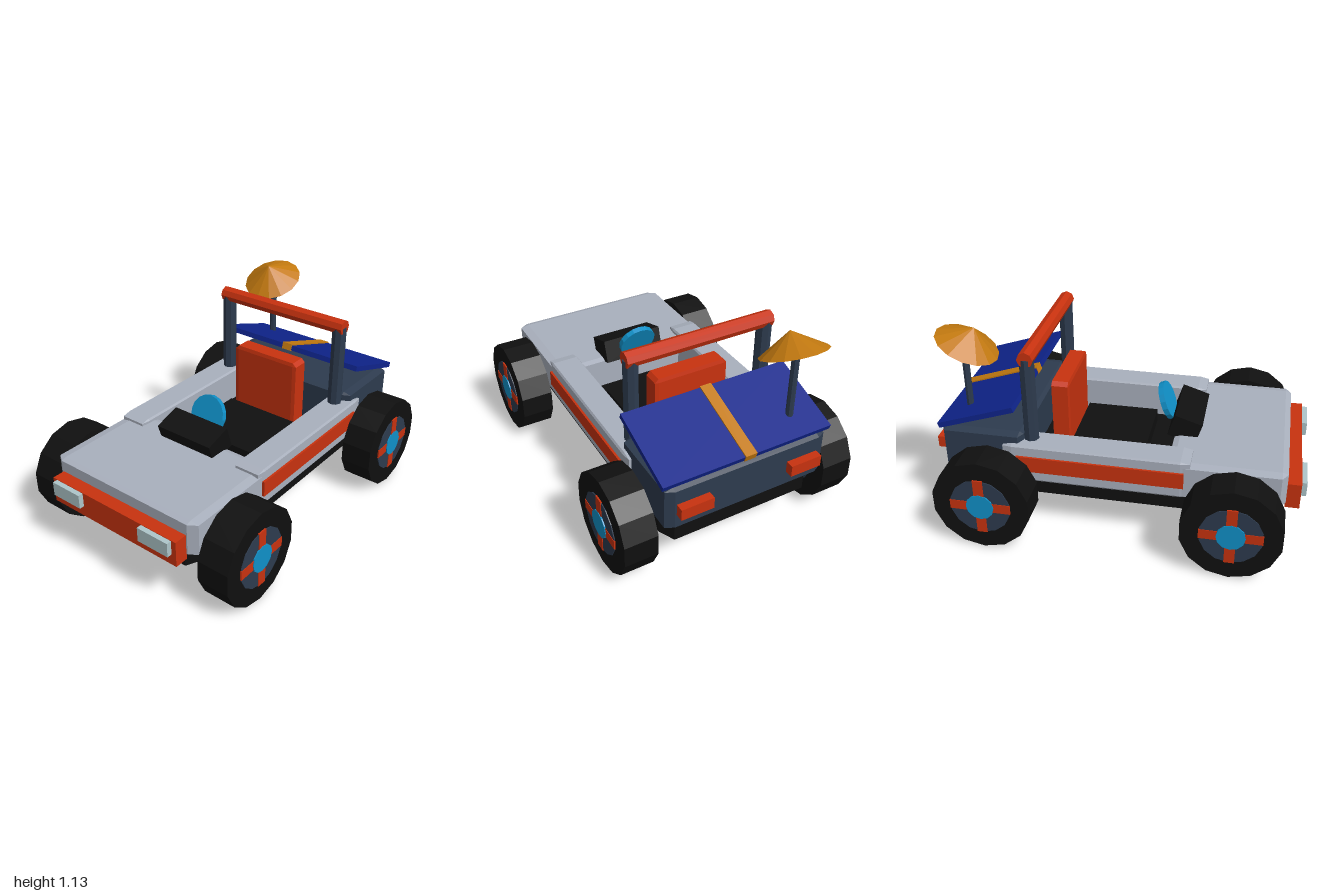
import * as THREE from 'three';
import { ConvexGeometry } from 'three/addons/geometries/ConvexGeometry.js';

const mat = (name, color) => {
  const m = new THREE.MeshStandardMaterial({ color });
  m.name = name;
  return m;
};

// Unit cube with every edge chamfered by 5 percent
function chamferedCube() {
  const points = [], a = 0.5, b = 0.45;
  for (const x of [-1, 1]) for (const y of [-1, 1]) for (const z of [-1, 1]) {
    points.push(new THREE.Vector3(x * a, y * b, z * b), new THREE.Vector3(x * b, y * a, z * b),
      new THREE.Vector3(x * b, y * b, z * a));
  }
  return new ConvexGeometry(points);
}

// Faceted normals for low-poly round parts
function facet(geometry) {
  const g = geometry.toNonIndexed();
  g.computeVertexNormals();
  return g;
}

export function createModel() {
  const black = mat('black rubber', 0x101010);
  const grey = mat('light grey', 0xa9b0bd);
  const red = mat('orange red', 0xc8320f);
  const slate = mat('dark slate', 0x2d3b4e);
  const blue = mat('deep blue', 0x0f248c);
  const cyan = mat('bright blue', 0x1090c8);
  const amber = mat('amber', 0xc47a10);
  const pale = mat('pale glass', 0xaec6ca);

  const model = new THREE.Group();
  model.name = 'buggy';
  const chamfered = chamferedCube();

  const add = (parent, name, geometry, material, x, y, z) => {
    const mesh = new THREE.Mesh(geometry, material);
    mesh.name = name;
    mesh.position.set(x, y, z);
    parent.add(mesh);
    return mesh;
  };
  const box = (name, m, w, h, d, x, y, z, parent = model) =>
    add(parent, name, new THREE.BoxGeometry(w, h, d), m, x, y, z);
  const block = (name, m, w, h, d, x, y, z) =>
    add(model, name, chamfered.clone().scale(w, h, d), m, x, y, z);
  const rod = (name, m, r, length, sides, x, y, z, parent = model) =>
    add(parent, name, facet(new THREE.CylinderGeometry(r, r, length, sides)), m, x, y, z);
  // Cylinder lying along x, with a corner pointing up
  const crossRod = (name, m, r, length, sides, x, y, z, parent = model) => {
    const g = new THREE.CylinderGeometry(r, r, length, sides).rotateY(Math.PI / 2).rotateZ(Math.PI / 2);
    return add(parent, name, facet(g), m, x, y, z);
  };

  // Body
  block('chassis', black, 0.86, 0.13, 1.78, 0, 0.277, -0.02);
  block('hood', grey, 0.96, 0.195, 0.62, 0, 0.4225, 0.59);
  block('rearBody', slate, 0.92, 0.25, 0.455, 0, 0.468, -0.728);
  box('frontBumper', red, 0.85, 0.145, 0.075, 0, 0.375, 0.935);

  // Cockpit
  box('seatCushion', black, 0.49, 0.09, 0.42, 0, 0.375, -0.09);
  block('seatBack', red, 0.43, 0.42, 0.1, 0, 0.585, -0.35);
  box('dashboard', black, 0.36, 0.13, 0.158, 0, 0.556, 0.335).rotation.x = 0.31;
  rod('steeringWheel', cyan, 0.108, 0.03, 16, 0, 0.633, 0.215).rotation.x = 1.19;

  // Mirrored side parts
  for (const s of [-1, 1]) {
    block('sidePod', grey, 0.16, 0.22, 1.005, s * 0.402, 0.435, -0.102);
    box('sideStripe', red, 0.02, 0.09, 0.9, s * 0.484, 0.437, -0.08);
    rod('rollBarPost', slate, 0.041, 0.5, 8, s * 0.387, 0.77, -0.465);
    box('headlight', pale, 0.193, 0.08, 0.035, s * 0.3, 0.405, 0.983);
    box('tailLight', red, 0.18, 0.065, 0.05, s * 0.315, 0.467, -0.975);
  }
  crossRod('rollBarTop', red, 0.043, 0.84, 8, 0, 1.022, -0.465);

  // Tilted rear panel with its stripe
  const panel = new THREE.Group();
  panel.name = 'rearPanel';
  panel.position.set(0, 0.69, -0.74);
  panel.rotation.x = 0.32 * -1;
  model.add(panel);
  box('panelBoard', blue, 0.96, 0.03, 0.445, 0, 0, 0, panel);
  box('panelStripe', amber, 0.064, 0.04, 0.452, 0, 0.002, 0, panel);

  // Dish on a mast
  rod('dishMast', slate, 0.02, 0.47, 8, -0.315, 0.825, -0.825);
  add(model, 'dish', facet(new THREE.ConeGeometry(0.176, 0.11, 14)), amber,
    -0.315, 1.082, -0.783).rotation.x = 0.444;

  // Axles and wheels
  for (const z of [0.64, -0.68]) {
    crossRod('axle', slate, 0.05, 1.0, 8, 0, 0.27, z);
    for (const s of [-1, 1]) {
      const wheel = new THREE.Group();
      wheel.name = 'wheel';
      wheel.position.set(s * 0.584, 0.268, z);
      model.add(wheel);
      crossRod('tyre', black, 0.268, 0.182, 14, 0, 0, 0, wheel);
      crossRod('rim', slate, 0.165, 0.192, 14, 0, 0, 0, wheel);
      box('spoke', red, 0.199, 0.33, 0.055, 0, 0, 0, wheel);
      box('spoke', red, 0.198, 0.055, 0.33, 0, 0, 0, wheel);
      crossRod('hub', cyan, 0.076, 0.206, 12, 0, 0, 0, wheel);
    }
  }
  return model;
}
